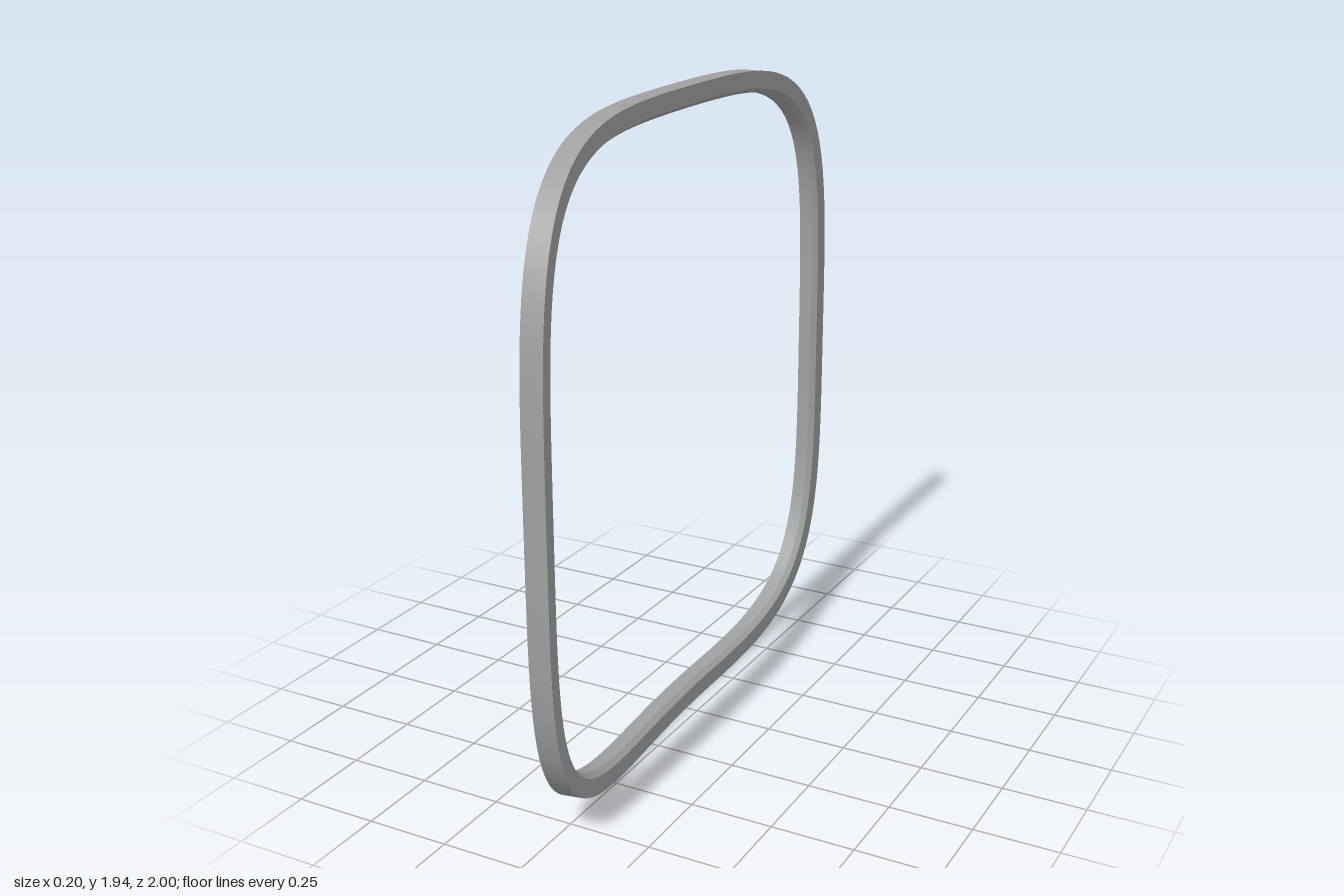
import * as THREE from 'three';
import { mergeGeometries } from 'three/addons/utils/BufferGeometryUtils.js';

const HALF_W = 1, HALF_H = 0.972, POWER = 4, SEGMENTS = 160;

// Section corners: [depth through the frame, distance in from the outer edge]
const SECTION = [[0, 0], [0.06, 0], [0.06, 0.053], [0.043, 0.066], [0, 0.066]];

// Rounded-square outline (superellipse) offset inwards, then bent sideways towards the front
function framePoint(angle, [depth, inset]) {
  const c = Math.cos(angle), s = Math.sin(angle);
  const r = (Math.abs(c) ** POWER + Math.abs(s) ** POWER) ** (-1 / POWER);
  const u = c * r, v = s * r;
  const normal = new THREE.Vector2(
    Math.sign(u) * Math.abs(u) ** (POWER - 1) / HALF_W,
    Math.sign(v) * Math.abs(v) ** (POWER - 1) / HALF_H
  ).normalize();
  const z = u * HALF_W - normal.x * inset;
  const y = HALF_H + v * HALF_H - normal.y * inset;
  const bend = Math.max(0, (z + 0.2) / 1.2);
  const tilt = Math.atan(2 * 0.146 * bend / 1.2);
  return [-0.102 + 0.146 * bend * bend + depth * Math.cos(tilt), y, z - depth * Math.sin(tilt)];
}

// One smooth band running round the ring between two section corners
function band(a, b) {
  const positions = [], index = [];
  for (let i = 0; i < SEGMENTS; i++) {
    const angle = i / SEGMENTS * Math.PI * 2;
    positions.push(...framePoint(angle, a), ...framePoint(angle, b));
    const p = i * 2, q = ((i + 1) % SEGMENTS) * 2;
    index.push(p, p + 1, q, p + 1, q + 1, q);
  }
  const geometry = new THREE.BufferGeometry();
  geometry.setAttribute('position', new THREE.Float32BufferAttribute(positions, 3));
  geometry.setIndex(index);
  geometry.computeVertexNormals();
  return geometry;
}

export function createModel() {
  const group = new THREE.Group();
  group.name = 'curvedFrame';
  const grey = new THREE.MeshStandardMaterial({ color: 0xa0a0a0 });
  grey.name = 'grey';

  // Bands are kept separate so the edges between them stay sharp
  const bands = SECTION.map((corner, i) => band(corner, SECTION[(i + 1) % SECTION.length]));
  const frame = new THREE.Mesh(mergeGeometries(bands), grey);
  frame.name = 'frameRing';
  group.add(frame);
  return group;
}
